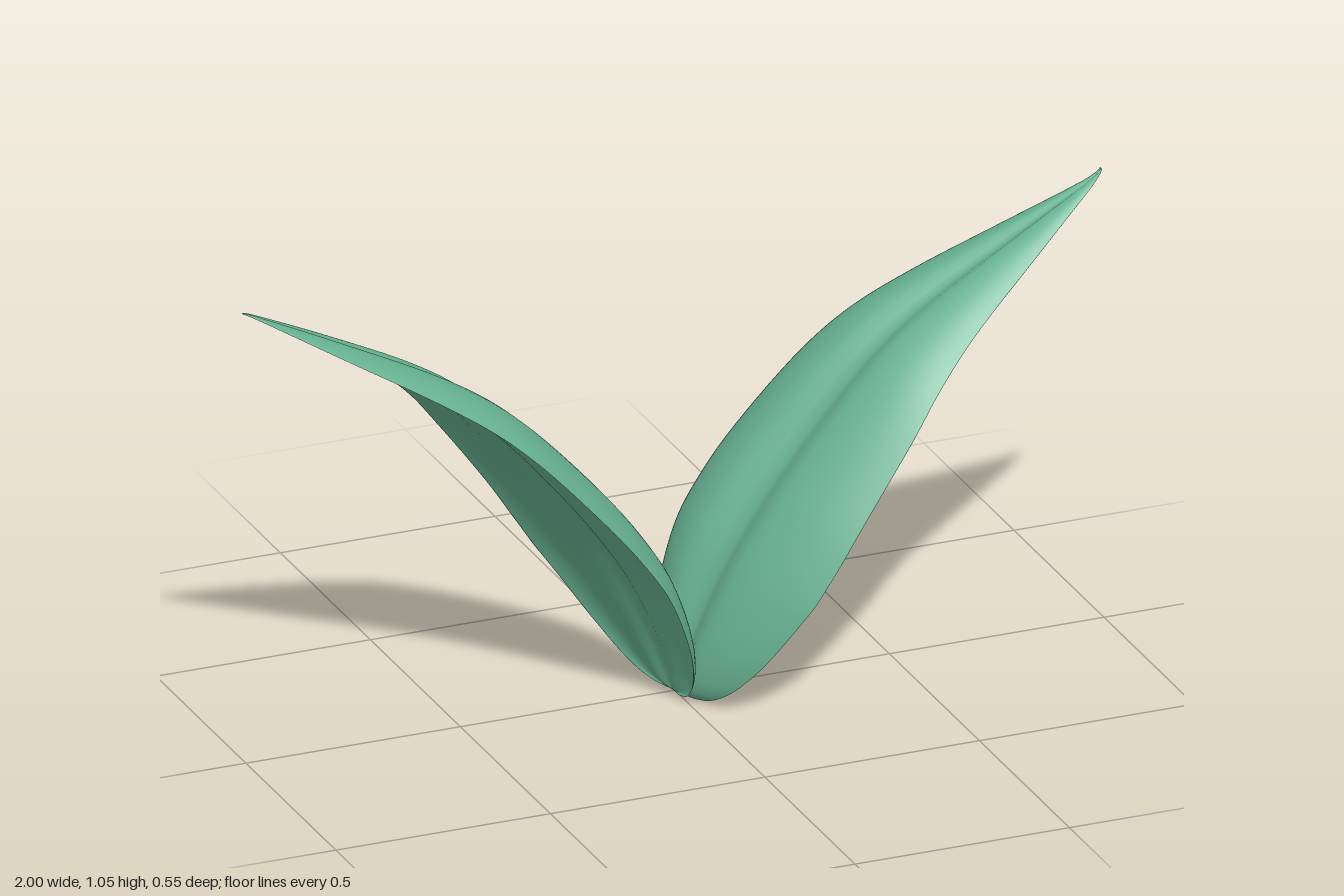
import * as THREE from 'three';

// Spine of one leaf from base to tip: x, y and half width (kept in z)
const SPINE = new THREE.CatmullRomCurve3([
  [0.005, 0.003, 0], [0.008, 0.007, 0.055], [0.013, 0.022, 0.1], [0.024, 0.06, 0.142],
  [0.053, 0.14, 0.19], [0.12, 0.28, 0.235], [0.19, 0.39, 0.246], [0.26, 0.485, 0.243],
  [0.4, 0.65, 0.22], [0.49, 0.738, 0.193], [0.6, 0.818, 0.153], [0.8, 0.937, 0.08],
  [0.96, 1.028, 0.019], [1, 1.05, 0.005],
].map((p) => new THREE.Vector3(...p)));

const LENGTH_STEPS = 78;
const HALF = 28; // points across each face

// Soft lobe on either side of a groove along the middle
const lobe = (u, power) => Math.max(0, 1 - u * u) ** power * (1 - 0.78 * Math.exp(-((u / 0.2) ** 2)));

function leafGeometry(tipZ) {
  const ring = HALF * 2;
  const pos = [];
  const index = [];
  for (let i = 0; i <= LENGTH_STEPS; i++) {
    const t = i / LENGTH_STEPS;
    const c = SPINE.getPoint(t);
    const a = SPINE.getPoint(Math.max(0, t - 0.03));
    const b = SPINE.getPoint(Math.min(1, t + 0.03));
    const angle = Math.atan2(b.y - a.y, b.x - a.x);
    const w = Math.max(0, c.z);
    // sideways tilt and shift, easing in from the base and off to the tip
    const ease = Math.min(1, 0.35 + 1.6 * t);
    const roll = 0.3 * ease * (1 - 0.85 * t * t);
    const shift = 0.028 * ease * Math.sqrt(Math.max(0, Math.sin(Math.PI * t))) + tipZ * t ** 4;
    for (let j = 0; j < ring; j++) {
      // upper face runs back to front, lower face returns
      const u = -Math.cos((j / HALF) * Math.PI);
      const face = j <= HALF ? 0.2 * lobe(u, 1) : -0.11 * lobe(u, 2);
      // rims curl down
      const h = w * (face - roll * u + 0.05 - 0.16 * u ** 4);
      pos.push(c.x - Math.sin(angle) * h, Math.max(0, c.y + Math.cos(angle) * h), w * u + shift);
      if (i < LENGTH_STEPS) {
        const k = (j + 1) % ring;
        const p = i * ring;
        const q = p + ring;
        index.push(p + j, p + k, q + j, p + k, q + k, q + j);
      }
    }
  }
  // close the tip
  const tip = LENGTH_STEPS * ring;
  for (let j = 1; j < ring - 1; j++) index.push(tip, tip + j, tip + j + 1);
  const g = new THREE.BufferGeometry();
  g.setAttribute('position', new THREE.Float32BufferAttribute(pos, 3));
  g.setIndex(index);
  g.computeVertexNormals();
  return g;
}

export function createModel() {
  const group = new THREE.Group();
  group.name = 'sprout';
  const material = new THREE.MeshStandardMaterial({ color: 0x66b08f, side: THREE.DoubleSide });
  // the second leaf is turned half way round; both tips lean slightly back
  ['leftLeaf', 'rightLeaf'].forEach((name, i) => {
    const leaf = new THREE.Mesh(leafGeometry(i ? 0.016 : -0.016), material);
    leaf.name = name;
    leaf.rotation.y = i * Math.PI;
    group.add(leaf);
  });
  return group;
}
